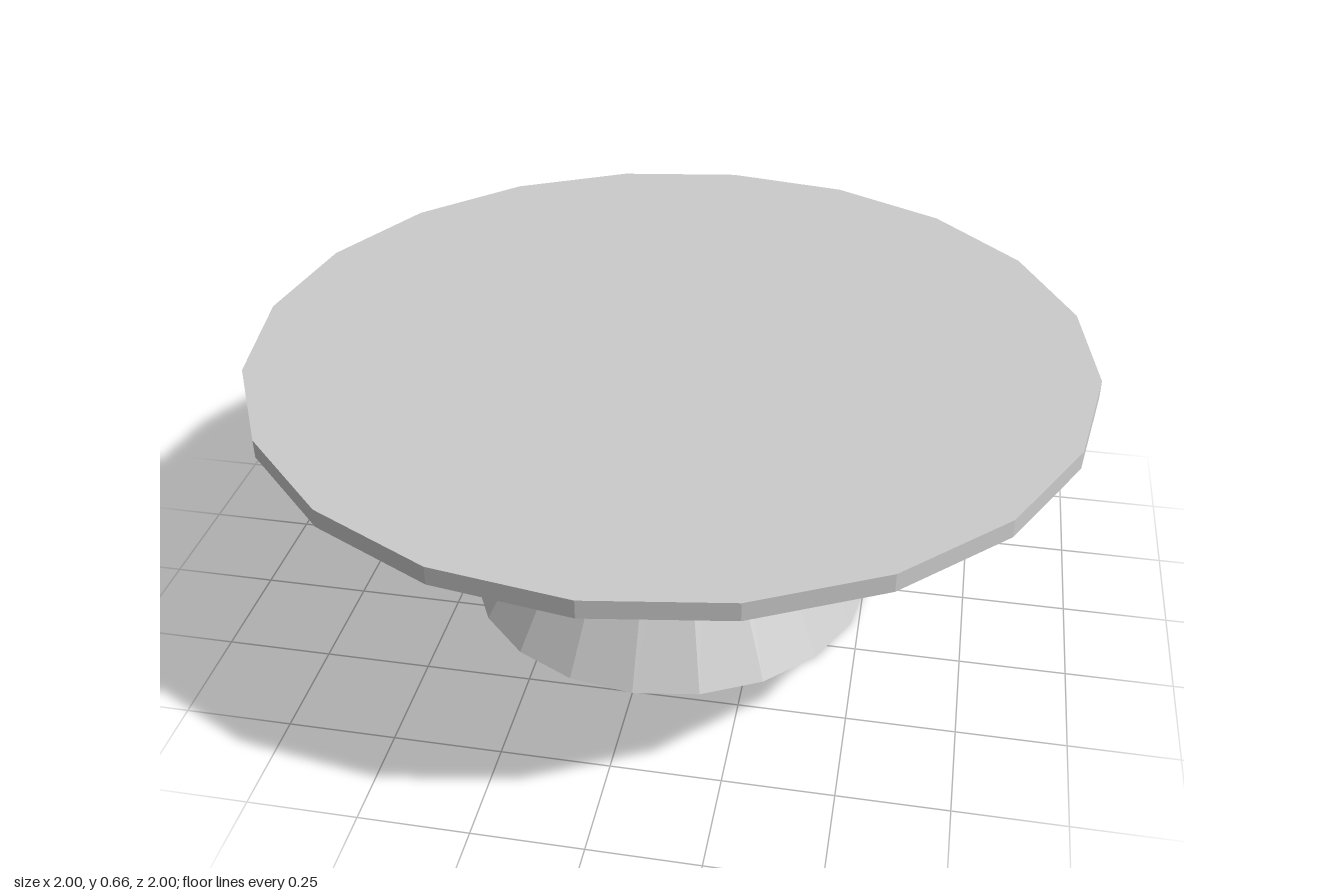
import * as THREE from 'three';

const SIDES = 20;

export function createModel() {
  const group = new THREE.Group();
  const material = new THREE.MeshStandardMaterial({ color: 0xcccccc, flatShading: true });

  // Adds a faceted, capped cone section between two heights
  function addSection(name, bottomRadius, topRadius, bottom, top) {
    const geometry = new THREE.CylinderGeometry(topRadius, bottomRadius, top - bottom, SIDES);
    const mesh = new THREE.Mesh(geometry, material);
    mesh.name = name;
    mesh.position.y = (bottom + top) / 2;
    group.add(mesh);
  }

  // Wide foot narrowing to the waist
  addSection('pedestalBase', 0.505, 0.18, 0, 0.55);
  // Flared collar under the plate
  addSection('pedestalCollar', 0.18, 0.25, 0.55, 0.62);
  // Round flat top
  addSection('tableTop', 1, 1, 0.62, 0.663);

  return group;
}
